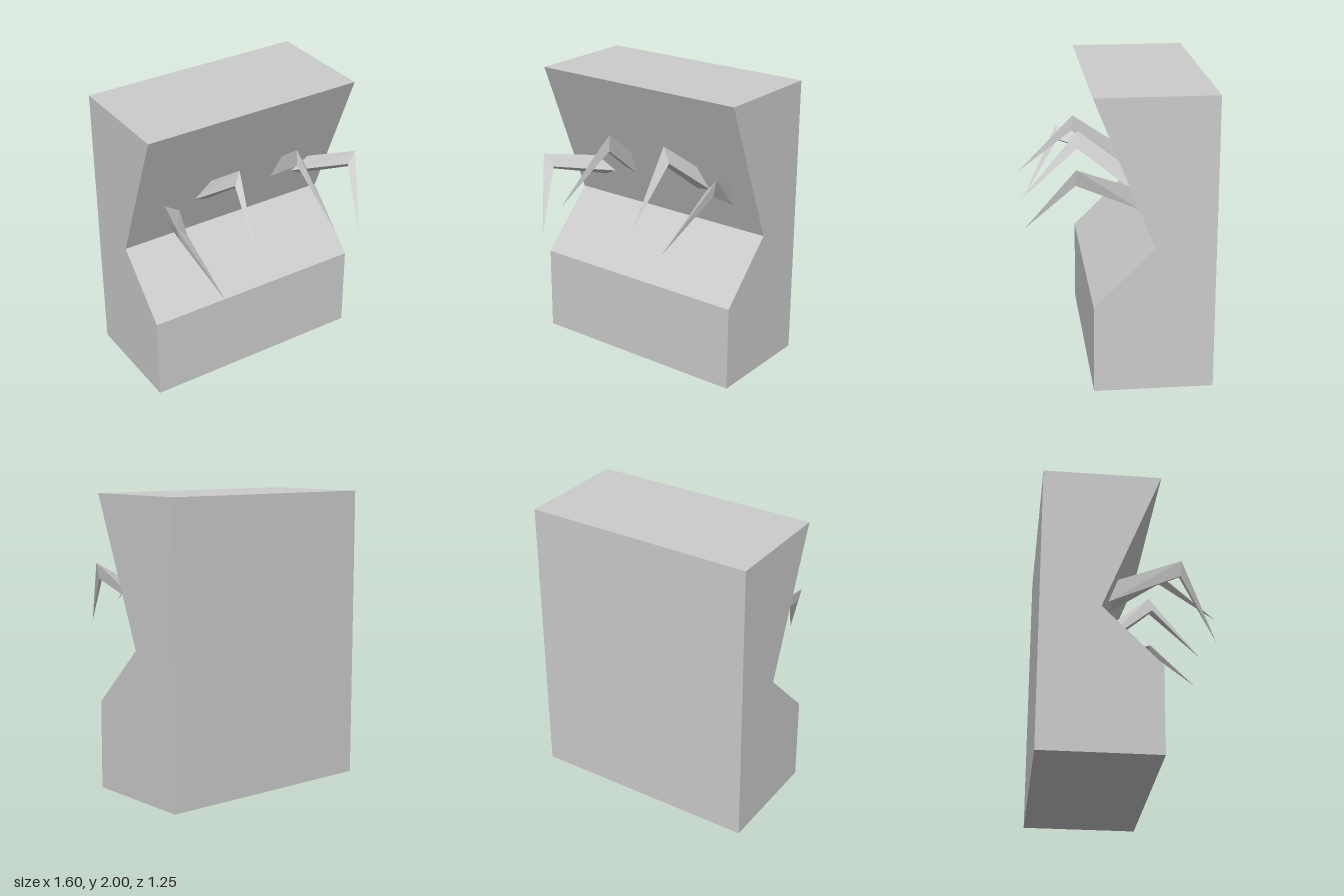
import * as THREE from 'three';
import { ConvexGeometry } from 'three/addons/geometries/ConvexGeometry.js';

const material = new THREE.MeshStandardMaterial({ color: 0xcccccc, flatShading: true });
const V = (p) => new THREE.Vector3(...p);

// Depth of the sloping upper face at a given height
const wallZ = (y) => -0.225 + 0.4 * (y - 1);

function mesh(geometry, name) {
  const m = new THREE.Mesh(geometry, material);
  m.name = name;
  return m;
}

// Notched block: side profile (z, y) extruded across the width
function createBody() {
  const profile = [[-0.625, 0], [0.175, 0], [0.175, 0.6], [-0.225, 1], [0.175, 2], [-0.625, 2]];
  const shape = new THREE.Shape(profile.map(([z, y]) => new THREE.Vector2(z, y)));
  const geometry = new THREE.ExtrudeGeometry(shape, { depth: 1.6, bevelEnabled: false });
  geometry.rotateY(-Math.PI / 2).translate(0.8, 0, 0);
  return mesh(geometry, 'body');
}

// Three-sided bent claw: root triangle on the slope (x, y), knee triangle, pointed tip
function createClaw({ name, root, knee, tip }) {
  const claw = new THREE.Group();
  claw.name = name;
  const base = root.map(([x, y]) => V([x, y, wallZ(y)]));
  const bend = knee.map(V);
  claw.add(mesh(new ConvexGeometry([...base, ...bend]), 'clawArm'));
  claw.add(mesh(new ConvexGeometry([...bend, V(tip)]), 'clawPoint'));
  return claw;
}

const claws = [
  {
    name: 'outerRightClaw',
    root: [[-0.555, 1.33], [-0.42, 1.23], [-0.52, 1.18]],
    knee: [[-0.70, 1.42, 0.317], [-0.617, 1.34, 0.31], [-0.675, 1.32, 0.313]],
    tip: [-0.495, 0.93, 0.575],
  },
  {
    name: 'innerRightClaw',
    root: [[-0.21, 1.44], [-0.31, 1.295], [-0.21, 1.26]],
    knee: [[-0.165, 1.64, 0.23], [-0.22, 1.555, 0.26], [-0.163, 1.53, 0.24]],
    tip: [-0.28, 1.205, 0.615],
  },
  {
    name: 'innerLeftClaw',
    root: [[0.36, 1.455], [0.43, 1.285], [0.322, 1.27]],
    knee: [[0.293, 1.655, 0.23], [0.345, 1.55, 0.24], [0.28, 1.55, 0.255]],
    tip: [0.343, 1.205, 0.62],
  },
  {
    name: 'outerLeftClaw',
    root: [[0.616, 1.365], [0.50, 1.26], [0.60, 1.20]],
    knee: [[0.752, 1.53, 0.278], [0.685, 1.455, 0.294], [0.73, 1.42, 0.28]],
    tip: [0.565, 1.08, 0.607],
  },
];

export function createModel() {
  const model = new THREE.Group();
  model.name = 'clawedBlock';
  model.add(createBody());
  for (const spec of claws) model.add(createClaw(spec));
  return model;
}
